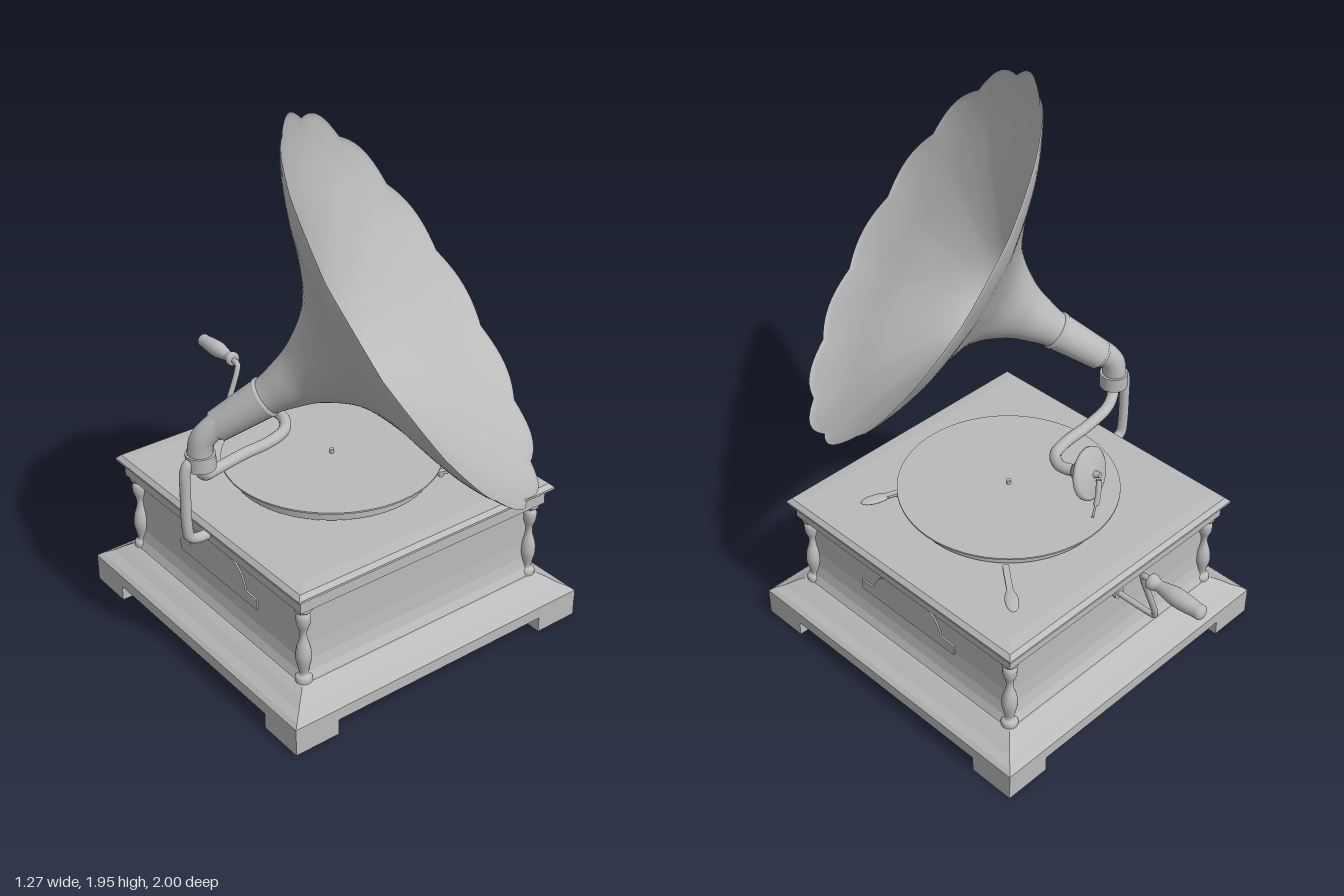
import * as THREE from 'three';

const grey = new THREE.MeshStandardMaterial({ color: 0xbababa, side: THREE.DoubleSide });
grey.name = 'plain grey';

const V = (x, y, z) => new THREE.Vector3(x, y, z);
const UP = V(0, 1, 0);
const ZC = -0.058; // cabinet centre in z

function add(parent, name, geometry, x = 0, y = 0, z = 0) {
  const mesh = new THREE.Mesh(geometry, grey);
  mesh.name = name;
  mesh.position.set(x, y, z);
  parent.add(mesh);
  return mesh;
}

const lathe = (pts, seg = 24) => new THREE.LatheGeometry(pts.map(p => new THREE.Vector2(...p)), seg);

// Smooth version of a turned profile
const turned = (pts, seg = 24, steps = 32) => new THREE.LatheGeometry(
  new THREE.SplineCurve(pts.map(p => new THREE.Vector2(...p))).getPoints(steps), seg);

const tube = (pts, r, seg = 48) => new THREE.TubeGeometry(
  new THREE.CatmullRomCurve3(pts.map(p => V(...p)), false, 'centripetal'), seg, r, 14);

// Square moulding: a four-sided lathe with flat faces, profile in half-widths
function squareMoulding(pts) {
  const g = lathe(pts.map(([h, y]) => [h * Math.SQRT2, y]), 4).rotateY(Math.PI / 4).toNonIndexed();
  g.computeVertexNormals();
  return g;
}

function cabinet() {
  const g = new THREE.Group();
  g.name = 'cabinet';
  g.position.z = ZC;

  add(g, 'baseMoulding', squareMoulding([
    [0.615, 0.06], [0.63, 0.06], [0.63, 0.105], [0.615, 0.118], [0.585, 0.133], [0.555, 0.155], [0.53, 0.17], [0.48, 0.172]]));
  add(g, 'bodyWalls', squareMoulding([
    [0.525, 0.172], [0.51, 0.2], [0.5, 0.24], [0.495, 0.3], [0.495, 0.47]]));
  add(g, 'upperBand', squareMoulding([[0.49, 0.47], [0.537, 0.47], [0.537, 0.53]]));
  add(g, 'topBoard', squareMoulding([
    [0, 0.53], [0.56, 0.53], [0.56, 0.538], [0.545, 0.553], [0.5, 0.558], [0, 0.558]]));

  const post = turned([
    [0.03, 0.172], [0.028, 0.19], [0.016, 0.2], [0.02, 0.225], [0.028, 0.265], [0.024, 0.305],
    [0.014, 0.34], [0.013, 0.37], [0.023, 0.4], [0.025, 0.43], [0.018, 0.445], [0.03, 0.455], [0.03, 0.47]], 16, 40);

  // Raised plaque on both side walls
  const s = new THREE.Shape();
  s.moveTo(-0.235, 0.295);
  s.lineTo(0.235, 0.295);
  s.lineTo(0.235, 0.335);
  s.lineTo(0.17, 0.34);
  s.quadraticCurveTo(0.15, 0.42, 0.08, 0.425);
  s.lineTo(-0.08, 0.425);
  s.quadraticCurveTo(-0.15, 0.42, -0.17, 0.34);
  s.lineTo(-0.235, 0.335);
  const plaque = new THREE.ExtrudeGeometry(s, { depth: 0.008, bevelEnabled: false });

  for (const sx of [-1, 1]) {
    for (const sz of [-1, 1]) {
      add(g, 'foot', new THREE.BoxGeometry(0.175, 0.06, 0.175), sx * 0.542, 0.03, sz * 0.542);
      add(g, 'cornerPost', post, sx * 0.503, 0, sz * 0.503);
    }
    add(g, 'sidePlaque', plaque, sx * 0.493).rotation.y = sx * Math.PI / 2;
  }
  return g;
}

function turntable() {
  const g = new THREE.Group();
  g.name = 'turntable';
  g.position.z = ZC;
  add(g, 'platter', new THREE.CylinderGeometry(0.36, 0.36, 0.035, 64), 0, 0.587);
  add(g, 'platterHub', new THREE.CylinderGeometry(0.06, 0.06, 0.02, 24), 0, 0.565);
  add(g, 'record', new THREE.CylinderGeometry(0.395, 0.395, 0.006, 64), 0, 0.618);
  add(g, 'spindle', new THREE.CylinderGeometry(0.008, 0.008, 0.05, 12), 0, 0.612);
  // Leaf-shaped brake levers at two corners
  for (const [x, z, turn] of [[0.345, -0.345, 0.9], [0.3, 0.29, -0.35]]) {
    const lever = new THREE.Group();
    lever.name = 'brakeLever';
    lever.position.set(x, 0.575, z);
    lever.rotation.y = turn;
    add(lever, 'leverArm', new THREE.BoxGeometry(0.14, 0.01, 0.022), -0.04);
    add(lever, 'leverLeaf', new THREE.SphereGeometry(1, 16, 10), 0.06).scale.set(0.055, 0.008, 0.024);
    add(lever, 'leverPin', new THREE.CylinderGeometry(0.01, 0.01, 0.03, 10), -0.03, -0.01);
    g.add(lever);
  }
  return g;
}

function crank() {
  const g = new THREE.Group();
  g.name = 'crank';
  add(g, 'crankRod', tube([
    [-0.03, 0.41, -0.54], [-0.03, 0.41, -0.7], [-0.028, 0.415, -0.725], [-0.02, 0.44, -0.732],
    [0.055, 0.64, -0.732], [0.066, 0.668, -0.74], [0.07, 0.672, -0.79]], 0.011));
  add(g, 'crankCollar', new THREE.CylinderGeometry(0.022, 0.022, 0.015, 16), -0.03, 0.41, -0.56).rotation.x = Math.PI / 2;
  const handle = turned([
    [0, 0], [0.024, 0.002], [0.028, 0.018], [0.02, 0.04], [0.024, 0.065], [0.032, 0.11],
    [0.03, 0.16], [0.026, 0.195], [0.024, 0.22], [0, 0.23]]);
  add(g, 'crankHandle', handle, 0.072, 0.674, -0.77).rotation.x = -Math.PI / 2;
  return g;
}

function toneArm() {
  const g = new THREE.Group();
  g.name = 'toneArm';
  add(g, 'armTube', tube([
    [-0.55, 0.79, -0.055], [-0.548, 0.75, -0.058], [-0.525, 0.722, -0.07], [-0.47, 0.712, -0.09],
    [-0.34, 0.714, -0.112], [-0.22, 0.716, -0.122], [-0.14, 0.722, -0.15], [-0.1, 0.73, -0.21], [-0.108, 0.742, -0.285]], 0.021, 64));
  // Sound box: a cone-backed disc with its needle
  const box = new THREE.Group();
  box.name = 'soundBox';
  box.position.set(-0.118, 0.755, -0.33);
  box.quaternion.setFromUnitVectors(UP, V(-0.2, 0.28, -1).normalize());
  add(box, 'soundBoxShell', lathe([
    [0, -0.065], [0.028, -0.06], [0.042, -0.04], [0.07, -0.02], [0.094, -0.006], [0.096, 0.006],
    [0.085, 0.014], [0.05, 0.016], [0.03, 0.022], [0, 0.024]], 32));
  add(box, 'soundBoxPin', new THREE.CylinderGeometry(0.01, 0.014, 0.03, 12), 0, 0.03);
  g.add(box);
  add(g, 'needleHolder', tube([[-0.12, 0.75, -0.372], [-0.105, 0.7, -0.385], [-0.09, 0.665, -0.39]], 0.01, 12));
  add(g, 'needle', tube([[-0.09, 0.67, -0.39], [-0.07, 0.625, -0.395]], 0.004, 4));
  return g;
}

function horn() {
  const g = new THREE.Group();
  g.name = 'horn';
  const axis = V(0.615, 0.575, 0.535).normalize();

  // Bell: a flared lathe, its rim scalloped into petals
  const lobes = 14;
  const bell = turned([
    [0.046, -0.8], [0.06, -0.62], [0.08, -0.52], [0.12, -0.41], [0.215, -0.285], [0.4, -0.17],
    [0.6, -0.075], [0.69, -0.02], [0.712, 0]], lobes * 10, 56);
  const p = bell.attributes.position;
  for (let i = 0; i < p.count; i++) {
    const x = p.getX(i), y = p.getY(i), z = p.getZ(i);
    const w = Math.min(1, Math.hypot(x, z) / 0.71) ** 2;
    const petal = Math.abs(Math.cos(Math.atan2(z, x) * lobes / 2)) - 0.65;
    const k = 1 + 0.034 * w * petal;
    p.setXYZ(i, x * k, y + 0.012 * w * petal, z * k);
  }
  bell.computeVertexNormals();

  const straight = new THREE.Group();
  straight.name = 'bellAndNeck';
  straight.position.set(-0.01, 1.37, 0.39);
  straight.quaternion.setFromUnitVectors(UP, axis);
  add(straight, 'bell', bell);
  add(straight, 'neckSleeve', lathe([
    [0.05, -0.79], [0.056, -0.785], [0.069, -0.6], [0.072, -0.595], [0.072, -0.585], [0.062, -0.58]], 32));
  g.add(straight);

  // Elbow down to the collar
  add(g, 'elbow', tube([
    [-0.55, 0.77, -0.055], [-0.55, 0.84, -0.055], [-0.541, 0.88, -0.048], [-0.505, 0.925, -0.025], [-0.455, 0.965, 0.01]], 0.044));
  add(g, 'collar', new THREE.CylinderGeometry(0.052, 0.052, 0.055, 32), -0.55, 0.795, -0.055);
  // Bracket from the collar to the cabinet side
  add(g, 'bracket', tube([
    [-0.57, 0.8, -0.055], [-0.6, 0.795, -0.055], [-0.614, 0.765, -0.055], [-0.616, 0.7, -0.055],
    [-0.616, 0.56, -0.055], [-0.608, 0.515, -0.055], [-0.58, 0.498, -0.055], [-0.53, 0.496, -0.055]], 0.019));
  return g;
}

export function createModel() {
  const model = new THREE.Group();
  model.name = 'gramophone';
  model.add(cabinet(), turntable(), crank(), toneArm(), horn());
  return model;
}
